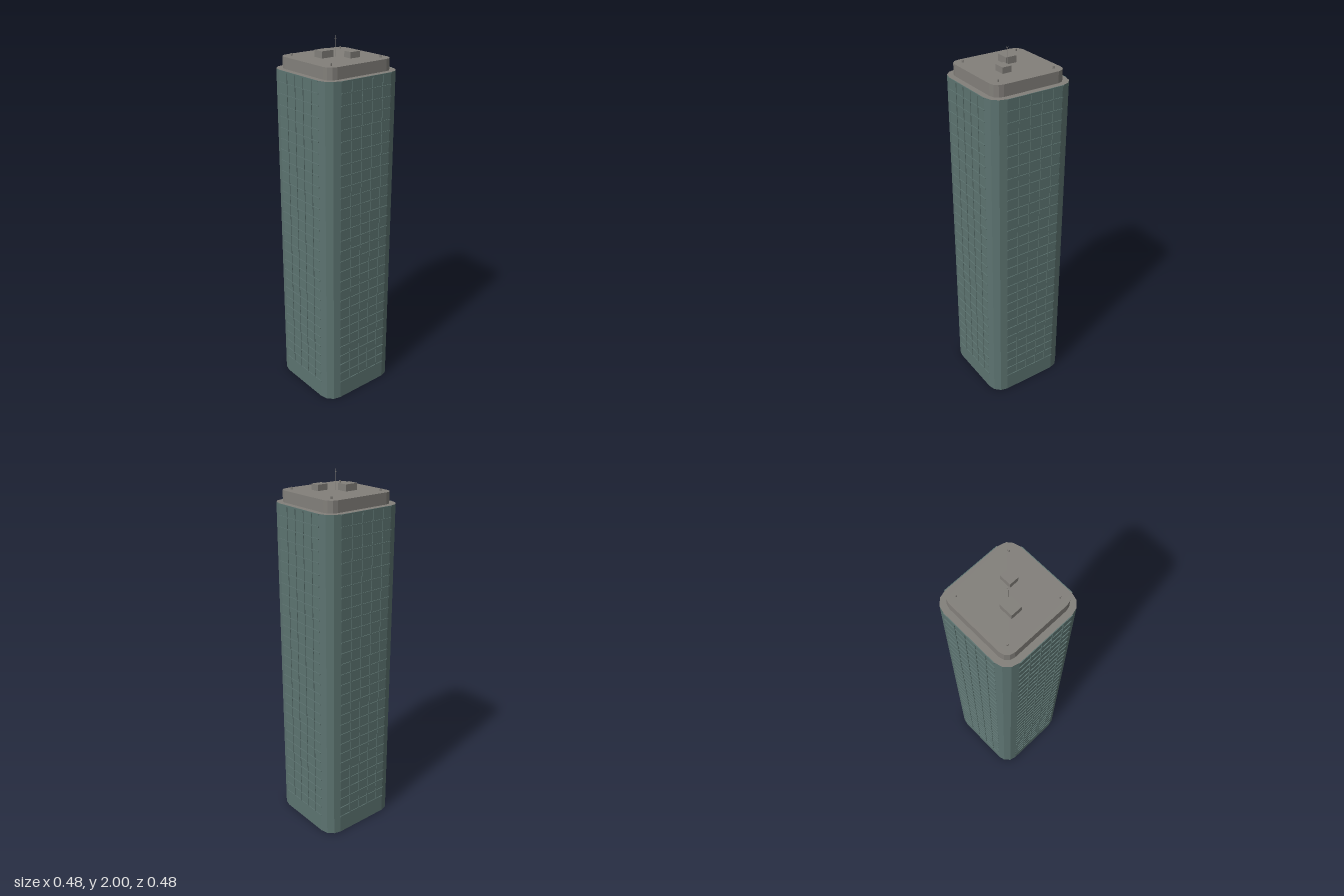
import * as THREE from 'three';
import { mergeGeometries } from 'three/addons/utils/BufferGeometryUtils.js';

const glass = new THREE.MeshStandardMaterial({ color: 0x5c7370, side: THREE.DoubleSide });
glass.name = 'green cladding';
const roof = new THREE.MeshStandardMaterial({ color: 0x827f7a, side: THREE.DoubleSide });
roof.name = 'roof grey';

// Square outline with faceted round corners, counter-clockwise seen from above
function outline(half, radius, steps = 3) {
  const points = [];
  for (let c = 0; c < 4; c++) {
    const mid = (c + 0.5) * Math.PI / 2;
    const cx = Math.sign(Math.cos(mid)) * (half - radius);
    const cy = Math.sign(Math.sin(mid)) * (half - radius);
    for (let i = 0; i <= steps; i++) {
      const a = (c + i / steps) * Math.PI / 2;
      points.push(new THREE.Vector2(cx + radius * Math.cos(a), cy + radius * Math.sin(a)));
    }
  }
  return points;
}

// Open band of flat walls along an outline
function wallGeometry(points, y0, y1) {
  const pos = [];
  points.forEach((a, i) => {
    const b = points[(i + 1) % points.length];
    pos.push(a.x, y0, -a.y, b.x, y0, -b.y, b.x, y1, -b.y);
    pos.push(a.x, y0, -a.y, b.x, y1, -b.y, a.x, y1, -a.y);
  });
  const g = new THREE.BufferGeometry();
  g.setAttribute('position', new THREE.Float32BufferAttribute(pos, 3));
  g.computeVertexNormals();
  return g;
}

function capGeometry(points, y) {
  return new THREE.ShapeGeometry(new THREE.Shape(points)).rotateX(-Math.PI / 2).translate(0, y, 0);
}

function box(w, h, d, x, y, z) {
  return new THREE.BoxGeometry(w, h, d).translate(x, y, z);
}

export function createModel() {
  const model = new THREE.Group();
  model.name = 'tower';
  const add = (name, geometry, material) => {
    const mesh = new THREE.Mesh(geometry, material);
    mesh.name = name;
    model.add(mesh);
    return mesh;
  };

  // Tower shaft, open underneath, with a grey ledge on top
  const shaft = outline(0.238, 0.078);
  add('shaftWalls', wallGeometry(shaft, 0, 1.835), glass);
  add('roofLedge', capGeometry(shaft, 1.835), roof);

  // Set-back top storey
  const storey = outline(0.206, 0.049);
  add('topStoreyWalls', wallGeometry(storey, 1.835, 1.895), roof);
  add('topStoreyRoof', capGeometry(storey, 1.895), roof);

  // Facade grid: floor bands and mullions, repeated on the four sides
  const bars = [];
  const floors = 30, low = 0.105, high = 1.832;
  for (let i = 0; i < floors; i++) {
    const y = low + (high - low) * i / (floors - 1);
    bars.push(box(0.324, 0.006, 0.004, 0, y, 0.24));
  }
  for (const x of [-0.093, -0.026, 0.04, 0.107]) {
    bars.push(box(0.005, high - low, 0.004, x, (low + high) / 2, 0.2398));
  }
  const grid = mergeGeometries(bars);
  ['front', 'left', 'back', 'right'].forEach((side, i) => {
    add(side + 'FacadeGrid', grid, glass).rotation.y = i * Math.PI / 2;
  });

  // Rooftop plant boxes
  add('largePlantBox', box(0.073, 0.035, 0.061, -0.05, 1.9125, -0.032), roof);
  add('smallPlantBox', box(0.062, 0.031, 0.05, 0.056, 1.9105, 0.061), roof);

  // Corner posts
  for (const x of [-0.159, 0.159]) {
    for (const z of [-0.159, 0.159]) {
      add('cornerPost', new THREE.CylinderGeometry(0.005, 0.005, 0.012, 8).translate(x, 1.901, z), roof);
    }
  }

  // Thin central mast with small cross arms
  add('mast', new THREE.CylinderGeometry(0.0008, 0.0012, 0.105, 6).translate(0, 1.9475, 0), roof);
  add('mastArmX', box(0.016, 0.001, 0.001, 0, 1.985, 0), roof);
  add('mastArmZ', box(0.001, 0.001, 0.016, 0, 1.985, 0), roof);

  return model;
}
